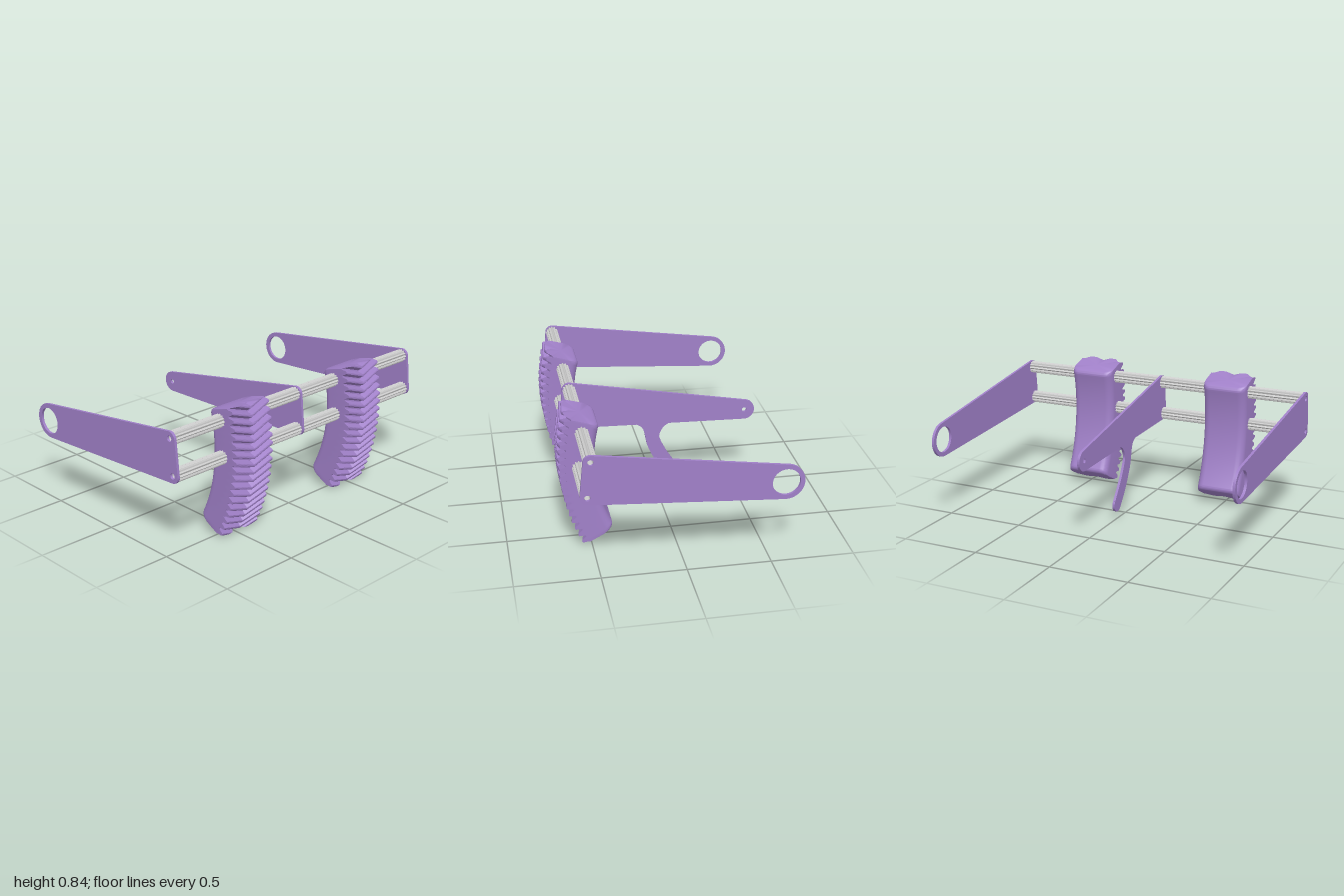
import * as THREE from 'three';
import { toCreasedNormals } from 'three/addons/utils/BufferGeometryUtils.js';

const purple = new THREE.MeshStandardMaterial({ color: 0xa080c8 });
const grey = new THREE.MeshStandardMaterial({ color: 0xcccccc });

// Shared pivots in the side plane: u = z, v = y
const PIVOT = [-0.57, 0.53], LOWER = [0.567, 0.537], UPPER = [0.545, 0.755];
const BORE = 0.018, THICK = 0.016;

// Angle of the outer tangent point between two circles [u, v, r]
function tangent(a, b) {
  const dx = b[0] - a[0], dy = b[1] - a[1];
  return Math.atan2(dy, dx) - Math.acos((a[2] - b[2]) / Math.hypot(dx, dy));
}

function addHole(shape, [u, v], r) {
  const hole = new THREE.Path();
  hole.absarc(u, v, r, 0, Math.PI * 2, true);
  shape.holes.push(hole);
}

// Finger lever hanging below the middle plate
function addLever(shape) {
  const pts = (list) => list.map(([u, v]) => new THREE.Vector2(u, v));
  shape.lineTo(-0.08, 0.477);
  shape.splineThru(pts([[-0.045, 0.45], [-0.022, 0.405], [-0.027, 0.365], [-0.076, 0.267], [-0.164, 0.14]]));
  shape.absarc(-0.127, 0.111, 0.046, 2.48, 5.74, false);
  shape.splineThru(pts([[-0.015, 0.187], [0.051, 0.315], [0.076, 0.424], [0.095, 0.462], [0.125, 0.482]]));
}

// Arm plate: hull of three circles, extruded along x
function armPlate(name, x, endRadius, holeRadius, lever) {
  const circles = [[...PIVOT, endRadius], [...LOWER, 0.043], [...UPPER, 0.043]];
  const shape = new THREE.Shape();
  circles.forEach((c, i) => {
    const from = tangent(circles[(i + 2) % 3], c), to = tangent(c, circles[(i + 1) % 3]);
    shape.absarc(c[0], c[1], c[2], from, to, false);
    if (i === 0 && lever) addLever(shape);
  });
  addHole(shape, PIVOT, holeRadius);
  addHole(shape, LOWER, BORE);
  addHole(shape, UPPER, BORE);
  const geo = new THREE.ExtrudeGeometry(shape, { depth: THICK, bevelEnabled: false, curveSegments: 24 });
  geo.translate(0, 0, -THICK / 2).rotateY(-Math.PI / 2);
  const mesh = new THREE.Mesh(toCreasedNormals(geo, 0.6), purple);
  mesh.name = name;
  mesh.position.x = x;
  return mesh;
}

// Fluted hollow rod running across the model
function flutedRod(name, [z, y]) {
  const pts = [], n = 96, length = 1.97;
  for (let i = 0; i < n; i++) {
    const a = (i / n) * Math.PI * 2, r = 0.037 + 0.004 * Math.cos(12 * a);
    pts.push(new THREE.Vector2(r * Math.cos(a), r * Math.sin(a)));
  }
  const shape = new THREE.Shape(pts);
  addHole(shape, [0, 0], BORE);
  const geo = new THREE.ExtrudeGeometry(shape, { depth: length, bevelEnabled: false, curveSegments: 12 });
  geo.translate(0, 0, -length / 2).rotateY(-Math.PI / 2);
  const mesh = new THREE.Mesh(toCreasedNormals(geo, 0.6), grey);
  mesh.name = name;
  mesh.position.set(0, y, z);
  return mesh;
}

// Curved pad: rounded back, chevron teeth on the front, swept along an arc
function padGeometry() {
  const CY = 0.547, CZ = -0.455, OUTER = 1.135, INNER = 0.925, HALF = 0.145;
  const TOP = 0.27, BOTTOM = -0.489, TEETH = 17, STEPS = 12, DEPTH = 0.037;
  const CORNER = 0.05, EDGE = 0.03, rows = TEETH * STEPS;
  const positions = [], index = [];
  let loopSize = 0;

  const push = (x, r, a) => positions.push(x, CY + r * Math.sin(a), CZ + r * Math.cos(a));

  for (let i = 0; i <= rows; i++) {
    const a = BOTTOM + ((TOP - BOTTOM) * i) / rows;
    const loop = [];
    // toothed front, each column shifted by one step to form the V
    for (let c = -STEPS; c <= STEPS; c++) {
      const p = ((i - Math.abs(c) + STEPS) % STEPS) / STEPS;
      const d = Math.abs(p - 0.5) * 2;
      const groove = THREE.MathUtils.clamp((d - 0.3) / 0.5, 0, 1);
      loop.push([(HALF * c) / STEPS, OUTER - DEPTH * groove]);
    }
    // back edges ease in toward both ends
    const e = Math.min(i, rows - i) * ((TOP - BOTTOM) / rows) * INNER;
    const t = Math.max(0, EDGE - e);
    const back = INNER + EDGE - Math.sqrt(EDGE * EDGE - t * t);
    // rounded back corners
    for (const side of [1, -1]) {
      for (let k = 0; k <= 6; k++) {
        const q = ((side > 0 ? k : 6 - k) / 6) * Math.PI / 2;
        loop.push([side * (HALF - CORNER + CORNER * Math.cos(q)), back + CORNER - CORNER * Math.sin(q)]);
      }
    }
    loopSize = loop.length;
    loop.forEach(([x, r]) => push(x, r, a));
  }

  for (let i = 0; i < rows; i++) {
    for (let j = 0; j < loopSize; j++) {
      const k = (j + 1) % loopSize;
      const A = i * loopSize + j, B = i * loopSize + k, C = B + loopSize, D = A + loopSize;
      // diagonals follow the chevron direction
      if (j < STEPS) index.push(A, B, D, B, C, D);
      else index.push(A, B, C, A, C, D);
    }
  }

  // end caps
  const mid = (OUTER + INNER) / 2, last = rows * loopSize, centre = positions.length / 3;
  push(0, mid, BOTTOM);
  push(0, mid, TOP);
  for (let j = 0; j < loopSize; j++) {
    const k = (j + 1) % loopSize;
    index.push(centre, k, j, centre + 1, last + j, last + k);
  }

  const geo = new THREE.BufferGeometry();
  geo.setAttribute('position', new THREE.Float32BufferAttribute(positions, 3));
  geo.setIndex(index);
  return toCreasedNormals(geo, 0.6);
}

export function createModel() {
  const model = new THREE.Group();
  model.name = 'armFrame';

  const padGeo = padGeometry();
  for (const [side, s] of [['left', 1], ['right', -1]]) {
    model.add(armPlate(`${side}ArmPlate`, s * (1 - THICK / 2), 0.109, 0.082, false));
    const pad = new THREE.Mesh(padGeo, purple);
    pad.name = `${side}ToothedPad`;
    pad.position.x = s * 0.477;
    model.add(pad);
  }
  model.add(armPlate('middleLeverPlate', 0, 0.065, 0.015, true));
  model.add(flutedRod('upperRod', UPPER), flutedRod('lowerRod', LOWER));
  return model;
}
